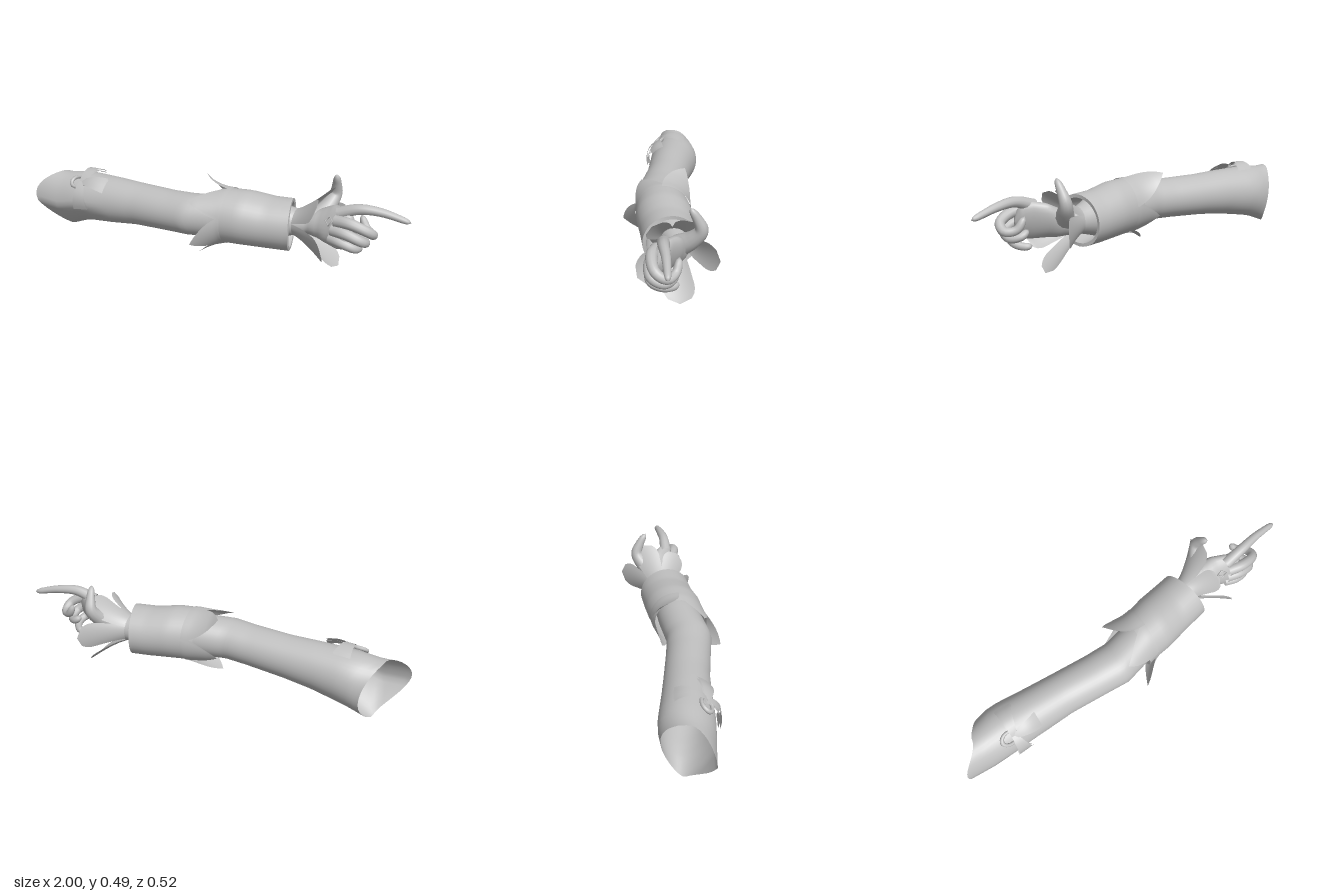
import * as THREE from 'three';
import { mergeVertices } from 'three/addons/utils/BufferGeometryUtils.js';

const grey = new THREE.MeshStandardMaterial({ color: 0xc0c0c0, side: THREE.DoubleSide });
grey.name = 'plain grey';
const { lerp, clamp, degToRad: rad } = THREE.MathUtils;

// Cross-sections along the arm: x, centre y, centre z, half height, half depth
const sleeveRows = [
  [-1.0, 0.165, 0.07, 0.155, 0.11], [-0.86, 0.157, 0.068, 0.157, 0.118], [-0.76, 0.185, 0.06, 0.142, 0.13],
  [-0.7, 0.195, 0.06, 0.135, 0.13], [-0.55, 0.21, 0.065, 0.122, 0.118], [-0.4, 0.22, 0.07, 0.11, 0.11],
  [-0.2, 0.23, 0.085, 0.104, 0.11], [-0.08, 0.238, 0.092, 0.105, 0.113], [0.1, 0.245, 0.05, 0.11, 0.11],
  [0.3, 0.245, 0.01, 0.1, 0.1],
];
const cuffRows = [
  [-0.12, 0.24, 0.095, 0.112, 0.12], [-0.02, 0.243, 0.08, 0.122, 0.128], [0.1, 0.25, 0.042, 0.138, 0.136],
  [0.2, 0.25, 0.022, 0.138, 0.143], [0.32, 0.24, -0.005, 0.13, 0.138], [0.47, 0.24, -0.033, 0.13, 0.135],
];
const handRows = [
  [0.3, 0.245, 0.0, 0.11, 0.11], [0.42, 0.25, -0.04, 0.07, 0.07], [0.5, 0.252, -0.06, 0.056, 0.055],
  [0.56, 0.265, -0.06, 0.073, 0.06], [0.62, 0.28, -0.035, 0.09, 0.055], [0.68, 0.285, -0.005, 0.098, 0.048],
  [0.72, 0.287, 0.008, 0.088, 0.04], [0.745, 0.287, 0.008, 0.05, 0.025], [0.75, 0.287, 0.008, 0.001, 0.001],
];

// Point on an arm surface at position x and angle a (0 = front, 90 = top)
function onArm(rows, x, a, scale = 1, off = 0) {
  let i = 0;
  while (i < rows.length - 2 && x > rows[i + 1][0]) i++;
  const p = rows[i], q = rows[i + 1];
  const t = clamp((x - p[0]) / (q[0] - p[0]), 0, 1);
  const [, cy, cz, ry, rz] = p.map((v, k) => lerp(v, q[k], t));
  return [x, cy + (ry * scale + off) * Math.sin(a), cz + (rz * scale + off) * Math.cos(a)];
}

function smooth(geo) {
  geo.deleteAttribute('uv');
  geo.deleteAttribute('normal');
  const g = mergeVertices(geo, 1e-5);
  g.computeVertexNormals();
  return g;
}

// Grid surface from a rule f(u, v), both 0 to 1
function surface(f, nu, nv) {
  const geo = new THREE.PlaneGeometry(1, 1, nu, nv), pos = geo.attributes.position;
  for (let i = 0; i < pos.count; i++) pos.setXYZ(i, ...f(pos.getX(i) + 0.5, pos.getY(i) + 0.5));
  return smooth(geo);
}

// Tapered finger with a rounded tip
function finger(points, r0, r1) {
  const curve = new THREE.CatmullRomCurve3(points.map(p => new THREE.Vector3(...p)));
  const n = 28, geo = new THREE.TubeGeometry(curve, n, 1, 12), pos = geo.attributes.position;
  const v = new THREE.Vector3();
  for (let i = 0; i < pos.count; i++) {
    const t = Math.floor(i / 13) / n, c = curve.getPointAt(t);
    const tip = t > 0.88 ? Math.sqrt(Math.max(0, 1 - ((t - 0.88) / 0.12) ** 2)) : 1;
    v.fromBufferAttribute(pos, i).sub(c).multiplyScalar(lerp(r0, r1, t) * tip).add(c);
    pos.setXYZ(i, v.x, v.y, v.z);
  }
  return smooth(geo);
}

export function createModel() {
  const model = new THREE.Group();
  const add = (name, geo, parent = model) => {
    const m = new THREE.Mesh(geo, grey);
    m.name = name;
    parent.add(m);
    return m;
  };
  const group = name => {
    const g = new THREE.Group();
    g.name = name;
    model.add(g);
    return g;
  };

  // Long sleeve: the open end is drawn out to a point at the front and narrows below
  add('sleeve', surface((u, v) => {
    const a = v * Math.PI * 2, c = Math.cos(a - 0.22), s = Math.sin(a);
    const start = -0.875 - (c > 0 ? 0.125 * c ** 2.2 : 0.065 * c) - 0.015 * s;
    const p = onArm(sleeveRows, lerp(start, 0.28, u), a);
    const low = Math.max(0, -s) * clamp((-0.55 - p[0]) / 0.3, 0, 1);
    p[2] = 0.06 + (p[2] - 0.06) * (1 - 0.3 * low) - 0.04 * low;
    return p;
  }, 48, 40));

  // Forearm cuff: outside, rim and inner wall
  const cuffEnd = a => 0.42 + 0.033 * Math.cos(a);
  const cuff = group('cuff');
  add('cuffOuter', surface((u, v) => {
    const a = v * Math.PI * 2;
    return onArm(cuffRows, lerp(0.06, cuffEnd(a), u), a);
  }, 16, 36), cuff);
  add('cuffRim', surface((u, v) => {
    const a = v * Math.PI * 2;
    return onArm(cuffRows, cuffEnd(a), a, lerp(1, 0.87, u));
  }, 1, 36), cuff);
  add('cuffInner', surface((u, v) => {
    const a = v * Math.PI * 2;
    return onArm(cuffRows, lerp(cuffEnd(a), 0.3, u), a, lerp(0.87, 0.75, u));
  }, 4, 36), cuff);

  // Pointed leaves at the elbow edge: angle, tip x, outward lift
  const leaves = group('elbowLeaves');
  for (const [deg, tip, lift] of [[129, -0.07, 0.098], [52, -0.06, 0.008], [-27, 0.0, 0.075],
    [-86, -0.035, 0.08], [205, -0.06, 0.015]]) {
    add('elbowLeaf', surface((u, v) => {
      const a = rad(deg) + (v * 2 - 1) * rad(42) * (1 - u ** 1.5);
      return onArm(cuffRows, lerp(0.12, tip, u), a, 1, 0.003 + lift * u ** 1.6);
    }, 12, 12), leaves);
  }

  // Flared petals around the wrist: angle, tip x, tip radius
  const petals = group('wristPetals');
  for (const [deg, tip, reach] of [[179, 0.625, 0.195], [-95, 0.65, 0.21], [-27, 0.635, 0.2],
    [50, 0.575, 0.18], [114, 0.6, 0.195]]) {
    add('wristPetal', surface((u, v) => {
      const w = 2 * v - 1;
      const half = u < 0.65 ? lerp(39, 28, u / 0.65) : 28 * Math.sqrt(Math.max(0, 1 - ((u - 0.65) / 0.35) ** 2));
      const a = rad(deg) + w * rad(half), r = lerp(0.062, reach, u ** 1.35);
      return [lerp(0.42, tip, u), 0.25 + r * Math.sin(a), lerp(-0.042, -0.07, u) + r * Math.cos(a)];
    }, 16, 10), petals);
  }

  // Wrist and palm, with the palm leaning towards the thumb side at the top
  const hand = group('hand');
  add('palm', surface((u, v) => {
    const p = onArm(handRows, lerp(0.3, 0.75, u), v * Math.PI * 2);
    p[2] -= (p[1] - 0.28) * 0.3 * clamp((p[0] - 0.5) / 0.1, 0, 1);
    return p;
  }, 40, 24), hand);

  // Pointing index finger, curled fingers and raised thumb
  add('indexFinger', finger([[0.66, 0.355, -0.015], [0.76, 0.39, -0.025], [0.86, 0.387, -0.045],
    [1.0, 0.354, -0.066]], 0.031, 0.014), hand);
  add('middleFinger', finger([[0.66, 0.325, 0.015], [0.74, 0.33, 0.03], [0.825, 0.295, 0.005], [0.83, 0.265, -0.045],
    [0.785, 0.275, -0.08], [0.75, 0.335, -0.093]], 0.03, 0.018), hand);
  add('ringFinger', finger([[0.65, 0.28, 0.025], [0.72, 0.28, 0.042], [0.795, 0.25, 0.025], [0.8, 0.225, -0.03],
    [0.76, 0.235, -0.07], [0.72, 0.262, -0.07]], 0.029, 0.018), hand);
  add('littleFinger', finger([[0.64, 0.235, 0.025], [0.7, 0.231, 0.043], [0.76, 0.21, 0.03], [0.77, 0.192, -0.02],
    [0.74, 0.182, -0.065], [0.71, 0.188, -0.085]], 0.026, 0.017), hand);
  add('thumb', finger([[0.53, 0.275, -0.07], [0.565, 0.33, -0.14], [0.585, 0.385, -0.177], [0.594, 0.44, -0.16],
    [0.602, 0.498, -0.127]], 0.054, 0.014), hand);

  // Small diamond ornament on the back of the hand
  const diamond = add('handOrnament', new THREE.TorusGeometry(0.022, 0.005, 6, 4), hand);
  diamond.position.set(0.625, 0.315, 0.01);
  diamond.rotation.set(-0.45, -0.35, 0);

  // Ribbon bow lying on the sleeve: flared tails and a ring-shaped knot
  const bow = group('bow');
  const knotX = -0.71, knotA = rad(52);
  for (const [dx, da] of [[0.14, 0], [0.02, -58], [0.02, 62]]) {
    for (const layer of [0.008, 0.018]) {
      add('bowTail', surface((u, v) => {
        const half = (v * 2 - 1) * lerp(0.014, 0.044, u);
        const x = knotX + dx * u + (da ? half : 0);
        const a = knotA + rad(da) * u + (da ? 0 : half / 0.135);
        return onArm(sleeveRows, x, a, 1, layer + 0.012 * Math.sin(u * Math.PI));
      }, 10, 4), bow);
    }
  }
  add('bowKnot', surface((u, v) => {
    const t = u * Math.PI * 2, s = v * Math.PI * 2, r = 0.03 + 0.008 * Math.cos(s);
    return onArm(sleeveRows, knotX - 0.025 + r * 1.4 * Math.cos(t), knotA + r * Math.sin(t) / 0.135, 1,
      0.012 + 0.01 * Math.sin(s));
  }, 24, 8), bow);

  return model;
}
